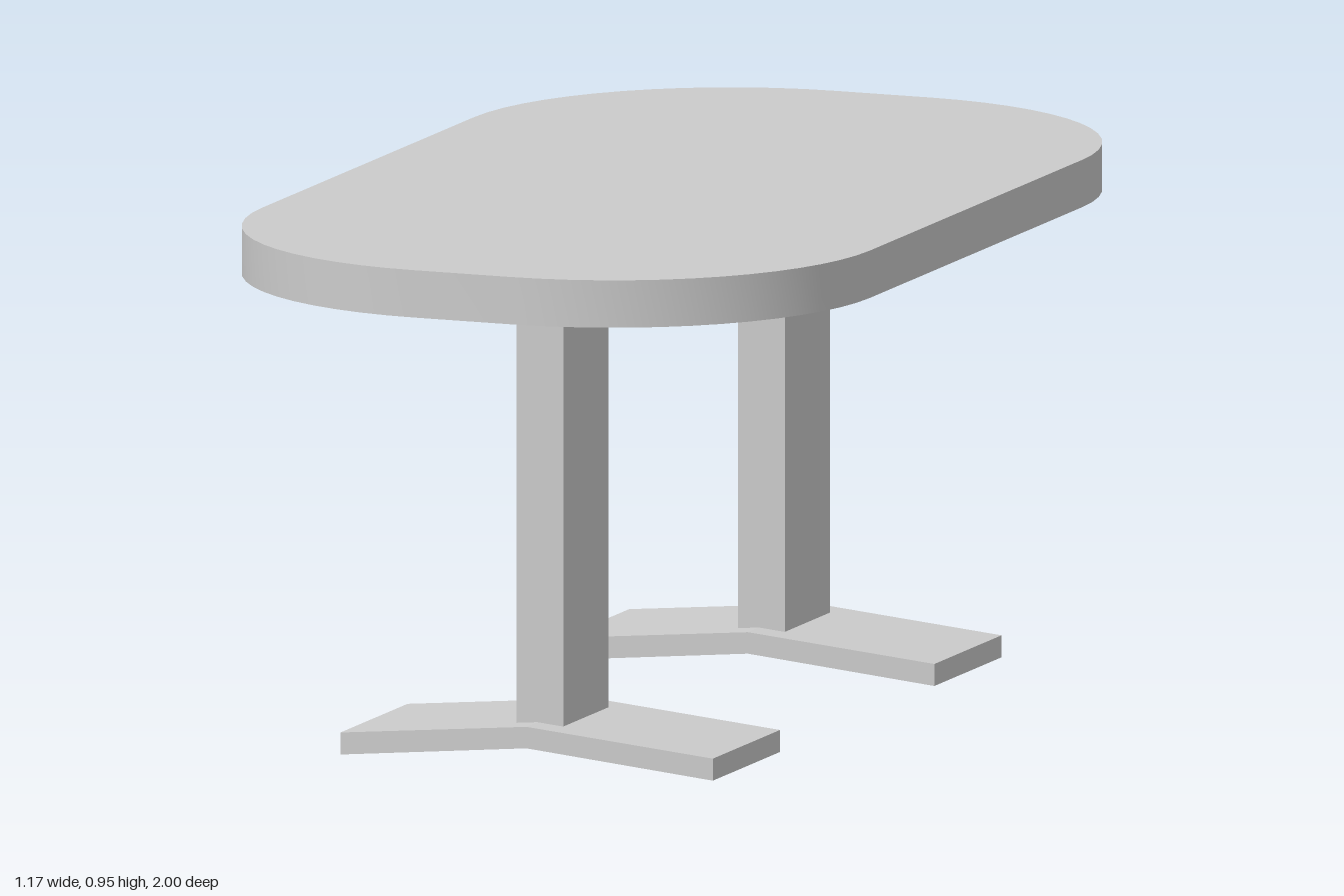
import * as THREE from 'three';
import { toCreasedNormals } from 'three/addons/utils/BufferGeometryUtils.js';

export function createModel() {
  const group = new THREE.Group();
  const material = new THREE.MeshStandardMaterial({ color: 0xcccccc });
  const add = (name, geometry, parent = group) => {
    const mesh = new THREE.Mesh(geometry, material);
    mesh.name = name;
    parent.add(mesh);
    return mesh;
  };

  // Tabletop: rectangle with very large rounded corners, smooth rim
  const halfX = 0.587, halfZ = 1, r = 0.495;
  const cx = halfX - r, cz = halfZ - r;
  const outline = new THREE.Shape();
  [[1, 1], [-1, 1], [-1, -1], [1, -1]].forEach(([sx, sz], i) => {
    const start = i * Math.PI / 2;
    outline.absarc(sx * cx, sz * cz, r, start, start + Math.PI / 2, false);
  });
  const top = new THREE.ExtrudeGeometry(outline, { depth: 0.086, bevelEnabled: false, curveSegments: 7 });
  top.rotateX(-Math.PI / 2);
  top.translate(0, 0.865, 0);
  add('tabletop', toCreasedNormals(top, Math.PI / 5));

  // Foot profile: shallow inverted V resting on its two ends
  const footShape = new THREE.Shape([
    [-0.367, 0], [-0.008, 0.035], [0.352, 0], [0.352, 0.04], [-0.008, 0.074], [-0.367, 0.04],
  ].map(([x, y]) => new THREE.Vector2(x, y)));
  const footDepth = 0.32;

  // Two pedestals, each a flat post on a splayed foot
  for (const [name, z] of [['frontPedestal', 0.514], ['backPedestal', -0.541]]) {
    const pedestal = new THREE.Group();
    pedestal.name = name;
    pedestal.position.z = z;
    group.add(pedestal);

    const post = add('post', new THREE.BoxGeometry(0.09, 0.81, 0.215), pedestal);
    post.position.set(-0.003, 0.465, 0);

    const foot = add('foot', new THREE.ExtrudeGeometry(footShape, { depth: footDepth, bevelEnabled: false }), pedestal);
    foot.position.z = -footDepth / 2;
  }
  return group;
}
